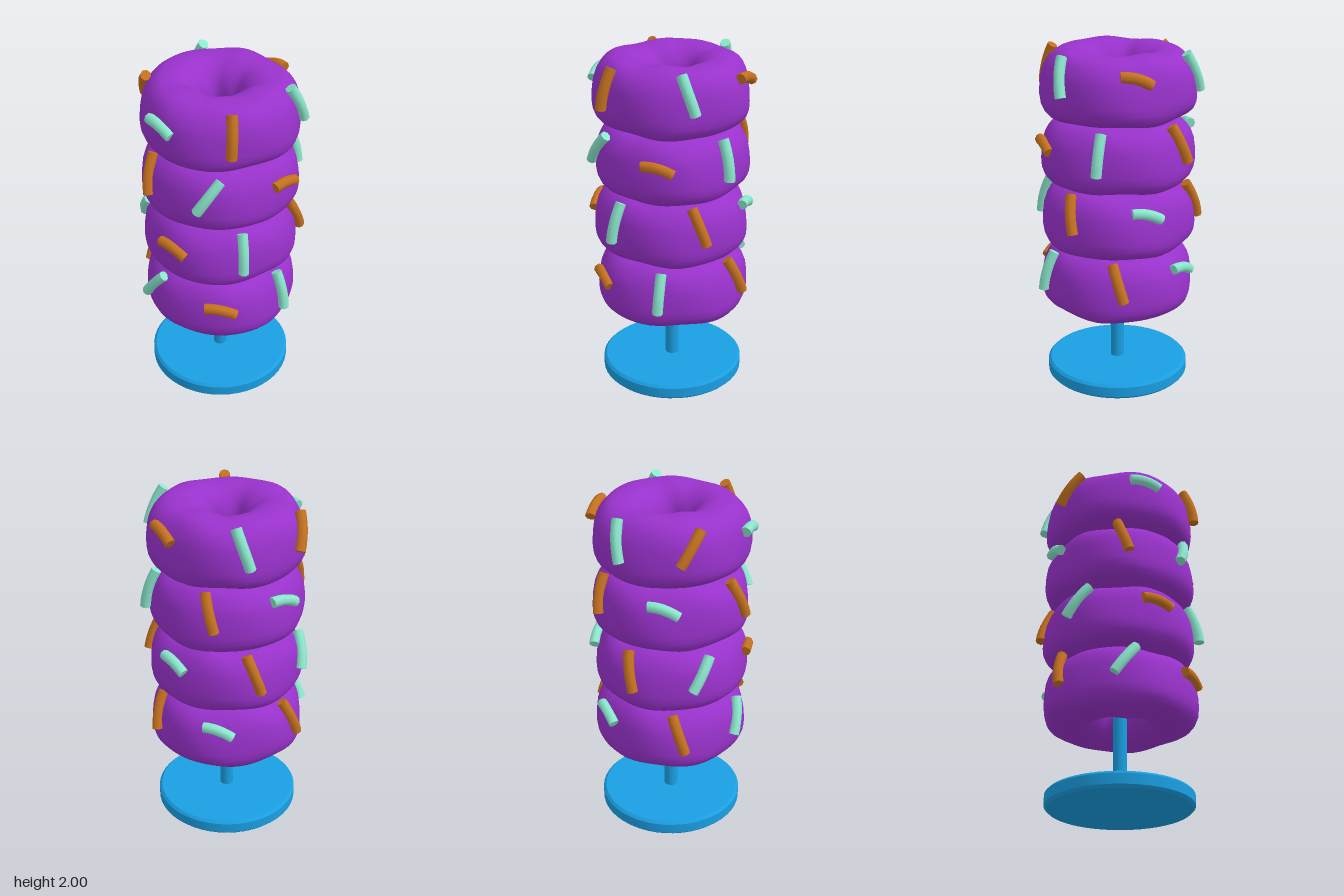
import * as THREE from 'three';
import { mergeVertices, toCreasedNormals } from 'three/addons/utils/BufferGeometryUtils.js';

const mat = (color) => new THREE.MeshStandardMaterial({ color });
const RAD = Math.PI / 180;

function mesh(name, geometry, material) {
  const m = new THREE.Mesh(geometry, material);
  m.name = name;
  return m;
}

// Round stand: bevelled disc with a thin pole
function makeStand(material) {
  const group = new THREE.Group();
  group.name = 'stand';
  const profile = [[0, 0], [0.405, 0], [0.42, 0.015], [0.42, 0.075], [0.405, 0.09], [0, 0.09]]
    .map(([x, y]) => new THREE.Vector2(x, y));
  const base = toCreasedNormals(new THREE.LatheGeometry(profile, 48), 0.5);
  const pole = new THREE.CylinderGeometry(0.04, 0.04, 1.66, 20);
  pole.translate(0, 0.91, 0);
  group.add(mesh('base', base, material), mesh('pole', pole, material));
  return group;
}

// Plump ring with a squarish outside, a funnel-like hole and a soft wobble
function makeRingGeometry() {
  const g = new THREE.TorusGeometry(1, 0.5, 28, 56);
  const p = g.attributes.position;
  const power = (v, n) => Math.sign(v) * Math.pow(Math.abs(v), 2 / n);
  for (let i = 0; i < p.count; i++) {
    const a = Math.atan2(p.getY(i), p.getX(i));
    const v = Math.atan2(p.getZ(i), Math.hypot(p.getX(i), p.getY(i)) - 1);
    const c = Math.cos(v), s = Math.sin(v);
    const n = c > 0 ? 2.7 : 2.1;
    let r = 0.27 + 0.17 * power(c, n);
    let y = 0.192 * power(s, n);
    if (c > 0) r -= 0.03 * s * c;
    r += 0.005 * Math.sin(3 * a + 1) + 0.005 * Math.sin(5 * a + 2 * v);
    y += s * (0.005 * Math.sin(4 * a + 0.5) + 0.004 * Math.sin(7 * a + 2));
    p.setXYZ(i, r * Math.sin(a), y, r * Math.cos(a));
  }
  g.deleteAttribute('uv');
  g.deleteAttribute('normal');
  const merged = mergeVertices(g, 1e-4);
  merged.computeVertexNormals();
  return merged;
}

// Bent rod lying on the ring's side; angle runs from +z towards +x,
// lean turns it from upright, y is measured from the ring's middle
function makeSprinkleGeometry({ angle, y, lean, half }) {
  const point = (t) => {
    const h = y + t * half * Math.cos(lean * RAD) + 0.016 * (1 - t * t) * Math.abs(Math.sin(lean * RAD));
    const a = angle * RAD + (t * half * Math.sin(lean * RAD)) / 0.45;
    const r = 0.46 - 0.16 * h - 1.05 * h * h;
    return new THREE.Vector3(r * Math.sin(a), h, r * Math.cos(a));
  };
  const g = new THREE.CylinderGeometry(0.031, 0.031, 2, 8, 6);
  const p = g.attributes.position;
  for (let i = 0; i < p.count; i++) {
    const t = p.getY(i);
    const o = point(t);
    const along = point(t + 0.01).sub(point(t - 0.01)).normalize();
    const out = new THREE.Vector3(o.x, 0, o.z);
    out.addScaledVector(along, -out.dot(along)).normalize();
    const side = new THREE.Vector3().crossVectors(along, out);
    o.addScaledVector(side, p.getX(i)).addScaledVector(out, p.getZ(i));
    p.setXYZ(i, o.x, o.y, o.z);
  }
  g.deleteAttribute('normal');
  return toCreasedNormals(g, 1.1);
}

// Six sprinkles around each ring, in alternating colours
const SPRINKLES = [
  { angle: 0, y: 0.05, lean: -79, half: 0.09 },
  { angle: 54, y: 0.065, lean: 3, half: 0.112 },
  { angle: 121, y: 0.085, lean: -18, half: 0.108 },
  { angle: 180, y: 0.09, lean: -75, half: 0.09 },
  { angle: 244, y: 0.075, lean: -18, half: 0.112 },
  { angle: 299, y: 0.07, lean: 36, half: 0.108 },
];

export function createModel() {
  const model = new THREE.Group();
  model.name = 'ringStack';
  const icing = mat(0x9932cc);
  const colours = [mat(0xc4711f), mat(0x8ae6cc)];
  model.add(makeStand(mat(0x1a9fe3)));

  const ringGeometry = makeRingGeometry();
  const sprinkleGeometries = SPRINKLES.map(makeSprinkleGeometry);

  // Rings from bottom to top, each turned; the top one swaps its colours
  [[37, 0], [0, 0], [90, 0], [-9, 1]].forEach(([turn, swap], level) => {
    const ring = new THREE.Group();
    ring.name = `ring${level + 1}`;
    ring.position.y = 0.648 + 0.383 * level;
    ring.rotation.y = turn * RAD;
    ring.add(mesh('ringBody', ringGeometry, icing));
    sprinkleGeometries.forEach((g, i) => {
      ring.add(mesh(`sprinkle${i + 1}`, g, colours[(i + swap) % 2]));
    });
    model.add(ring);
  });
  return model;
}
